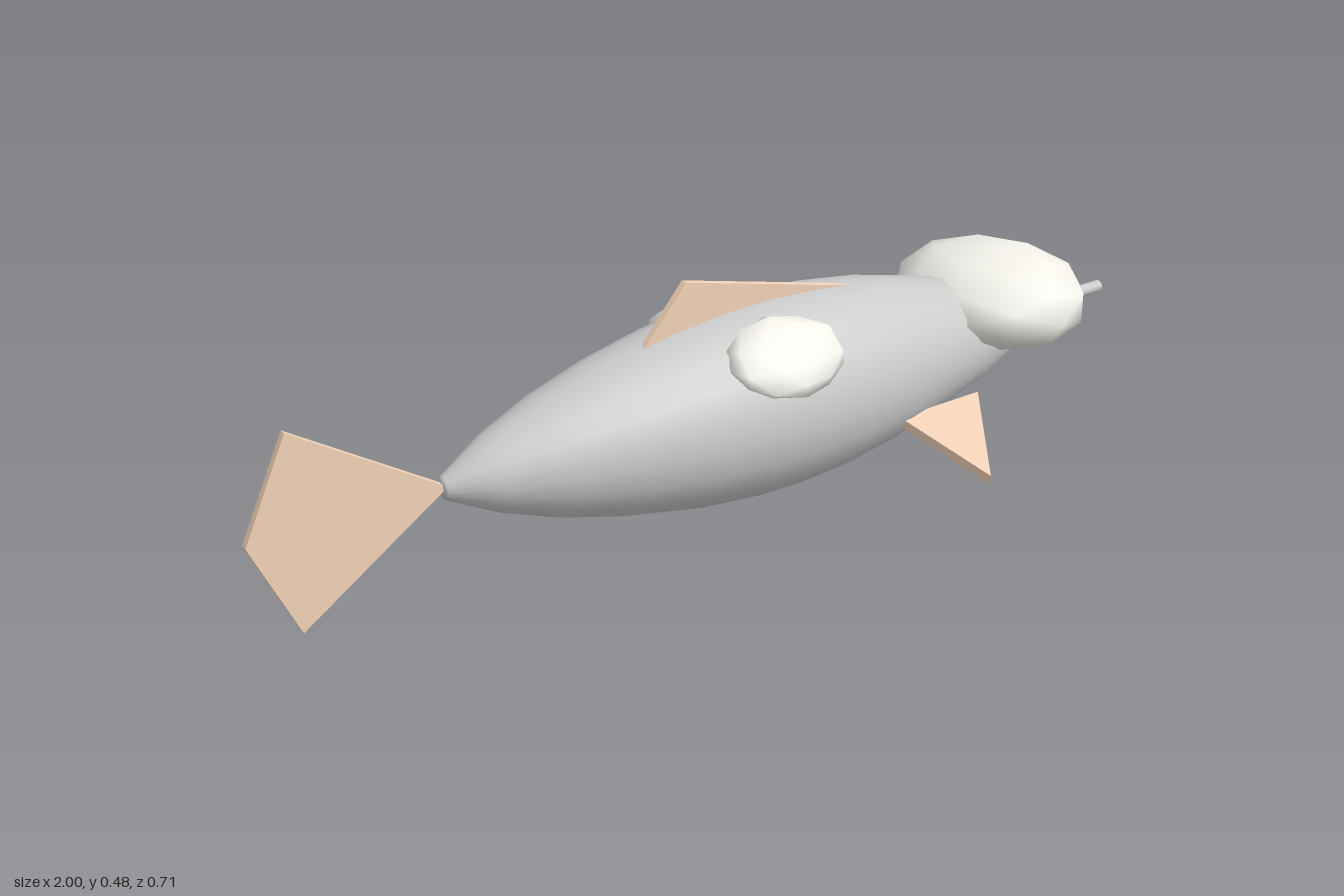
import * as THREE from 'three';
import { mergeVertices } from 'three/addons/utils/BufferGeometryUtils.js';

const grey = new THREE.MeshStandardMaterial({ color: 0xcccccc });
const white = new THREE.MeshStandardMaterial({ color: 0xf3f1ea });
const peach = new THREE.MeshStandardMaterial({ color: 0xf3d3b9 });

function add(parent, name, geometry, material) {
  const mesh = new THREE.Mesh(geometry, material);
  mesh.name = name;
  parent.add(mesh);
  return mesh;
}

// Coarse ball with smooth normals and slight unevenness
function lump(rx, ry, rz, uneven, seed) {
  let geo = new THREE.IcosahedronGeometry(1, 1);
  geo.deleteAttribute('normal');
  geo.deleteAttribute('uv');
  geo = mergeVertices(geo, 1e-3);
  const pos = geo.attributes.position;
  for (let i = 0; i < pos.count; i++) {
    const k = 1 + uneven * Math.sin(i * 2.4 + seed);
    pos.setXYZ(i, pos.getX(i) * rx * k, pos.getY(i) * ry * k, pos.getZ(i) * rz * k);
  }
  geo.computeVertexNormals();
  return geo;
}

// Thin flat plate from outline points in the xy plane
function plate(points, depth) {
  const shape = new THREE.Shape(points.map(([x, y]) => new THREE.Vector2(x, y)));
  return new THREE.ExtrudeGeometry(shape, { depth, bevelEnabled: false });
}

export function createModel() {
  const model = new THREE.Group();
  model.name = 'fish';

  // Spindle body, turned along x
  const stations = [
    [0, -0.62], [0.022, -0.62], [0.075, -0.52], [0.12, -0.4], [0.155, -0.27],
    [0.182, -0.13], [0.195, 0], [0.197, 0.1], [0.19, 0.22], [0.172, 0.35],
    [0.142, 0.48], [0.113, 0.6], [0.078, 0.7], [0.04, 0.8], [0.012, 0.86], [0, 0.87],
  ];
  const bodyGeo = new THREE.LatheGeometry(stations.map(([r, x]) => new THREE.Vector2(r, x)), 20);
  bodyGeo.rotateZ(-Math.PI / 2);
  add(model, 'body', bodyGeo, grey).position.y = 0.2;

  // Bill
  const bill = add(model, 'bill', new THREE.CylinderGeometry(0.013, 0.013, 0.25, 12), grey);
  bill.rotation.z = -Math.PI / 2;
  bill.position.set(0.875, 0.2, 0);

  // Cap over the head
  add(model, 'headCap', lump(0.19, 0.1, 0.22, 0.015, 0), white).position.set(0.68, 0.265, 0);

  // Pale patches on both shoulders
  for (const side of [1, -1]) {
    const patch = add(model, 'backPatch', lump(0.13, 0.04, 0.088, 0.05, side), white);
    patch.position.set(0.045, 0.332, side * 0.132);
    patch.rotation.x = side * 0.68;
  }

  // Upright fins
  add(model, 'dorsalFin', plate([[-0.2, 0.36], [0.4, 0.33], [0.38, 0.355], [-0.1, 0.478]], 0.014), peach);
  add(model, 'tailFin', plate([[-0.61, 0.2], [-0.91, 0.395], [-1, 0.2], [-0.91, 0]], 0.014), peach)
    .position.z = -0.014;

  // Side fins, sloping outwards and down
  for (const side of [1, -1]) {
    const fin = new THREE.Group();
    fin.name = side > 0 ? 'leftFin' : 'rightFin';
    const geo = plate([[0.325, 0], [0.53, 0], [0.38, 0.22]], 0.02);
    geo.translate(0, 0, -0.01);
    add(fin, 'finBlade', geo, peach).rotation.x = side * (Math.PI / 2 + 0.26);
    fin.position.set(0, 0.119, side * 0.14);
    model.add(fin);
  }

  return model;
}
